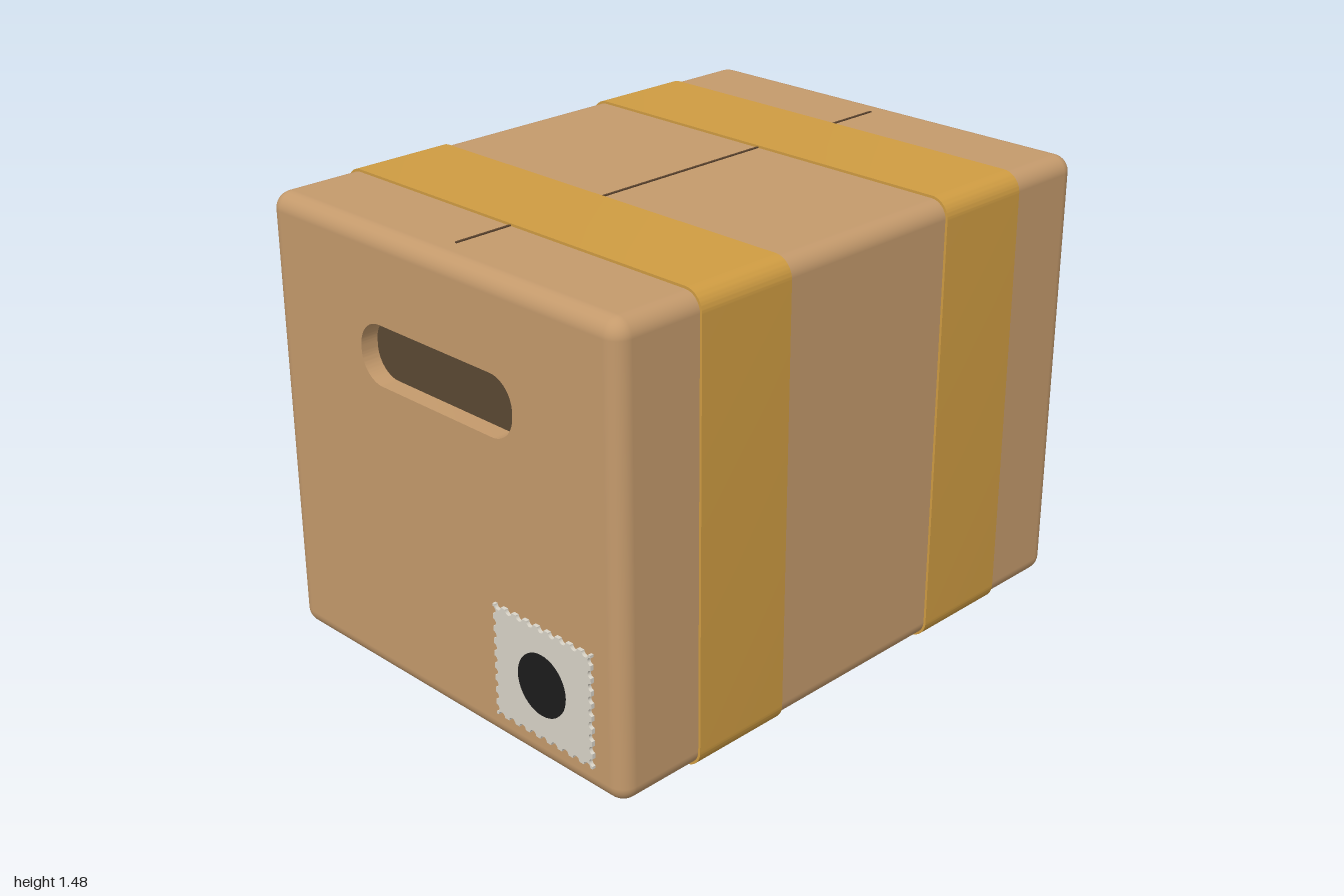
import * as THREE from 'three';
import { toCreasedNormals } from 'three/addons/utils/BufferGeometryUtils.js';
import { RoundedBoxGeometry } from 'three/addons/geometries/RoundedBoxGeometry.js';

const HX = 0.99, HY = 0.7335, HZ = 0.75, R = 0.055; // half sizes and edge radius of the box
const CX = 0.005, CY = 0.7415; // box centre
const TAPE = 0.008, RECESS = 0.06;

const mat = (color) => new THREE.MeshStandardMaterial({ color });
const kraft = mat(0xc49a6c), tapeMat = mat(0xcf9c42), dark = mat(0x5a4833);
const ink = mat(0x443c34), seamMat = mat(0x5e4630), paper = mat(0xd9d4c8), black = mat(0x1c1c1c);

function mesh(name, geometry, material, parent) {
  const m = new THREE.Mesh(geometry, material);
  m.name = name;
  parent.add(m);
  return m;
}

// Rounded rectangle traced counter-clockwise; r = 0 gives square corners
function roundRect(hw, hh, r, cx = 0, cy = 0, Type = THREE.Shape) {
  const s = new Type();
  const corners = [[1, -1], [1, 1], [-1, 1], [-1, -1]];
  corners.forEach(([sx, sy], i) => {
    const x = cx + sx * (hw - r), y = cy + sy * (hh - r), a = (i - 1) * Math.PI / 2;
    if (r > 0) s.absarc(x, y, r, a, a + Math.PI / 2, false);
    else if (i === 0) s.moveTo(x, y);
    else s.lineTo(x, y);
  });
  s.closePath();
  return s;
}

const extrude = (shape, depth, curveSegments = 12) =>
  new THREE.ExtrudeGeometry(shape, { depth, curveSegments, bevelEnabled: false });

// Rounded box without its flat end faces, which the slotted panels replace
function openBox() {
  const g = new RoundedBoxGeometry(HX * 2, HY * 2, HZ * 2, 5, R);
  const p = g.attributes.position, n = g.attributes.normal, pos = [], nor = [];
  for (let i = 0; i < p.count; i += 3) {
    const flatEnd = [0, 1, 2].every((k) => Math.abs(p.getX(i + k)) > HX - 1e-5);
    if (flatEnd) continue;
    for (let k = i; k < i + 3; k++) {
      pos.push(p.getX(k), p.getY(k), p.getZ(k));
      nor.push(n.getX(k), n.getY(k), n.getZ(k));
    }
  }
  const out = new THREE.BufferGeometry();
  out.setAttribute('position', new THREE.Float32BufferAttribute(pos, 3));
  out.setAttribute('normal', new THREE.Float32BufferAttribute(nor, 3));
  return out;
}

// Rectangle with a row of half-round notches along each side
function stampShape(hw, hh, n) {
  const s = new THREE.Shape();
  const starts = [[-hw, -hh], [hw, -hh], [hw, hh], [-hw, hh]];
  s.moveTo(-hw, -hh);
  starts.forEach(([x, y], k) => {
    const a = k * Math.PI / 2, pitch = (k % 2 ? hh : hw) * 2 / n;
    for (let i = 0; i < n; i++) {
      const d = (i + 0.5) * pitch;
      s.absarc(x + Math.cos(a) * d, y + Math.sin(a) * d, pitch * 0.3, a + Math.PI, a, true);
    }
    const [ex, ey] = starts[(k + 1) % 4];
    s.lineTo(ex, ey);
  });
  return s;
}

function arrowShape(x) {
  const pts = [[-0.016, 0.48], [0.016, 0.48], [0.016, 0.64], [0.047, 0.64], [0, 0.71], [-0.047, 0.64], [-0.016, 0.64]];
  return new THREE.Shape(pts.map(([px, py]) => new THREE.Vector2(x + px, py)));
}

// Box end: local +z points outward, the face lies at z = 0
function boxEnd(name, side, parent) {
  const end = new THREE.Group();
  end.name = name;
  end.position.x = CX + side * HX;
  end.rotation.y = side * Math.PI / 2;
  parent.add(end);

  const slot = [0.333, 0.097, 0.09, 0, 1.092];
  const panel = roundRect(HZ - R, HY - R, 0, 0, CY);
  panel.holes.push(roundRect(...slot, THREE.Path));
  const panelGeo = toCreasedNormals(extrude(panel, RECESS, 16), 0.6);
  mesh('endPanel', panelGeo, kraft, end).position.z = -RECESS;
  const back = new THREE.ShapeGeometry(roundRect(...slot), 16);
  mesh('handleRecess', back, dark, end).position.z = -RECESS + 0.001;
  return end;
}

export function createModel() {
  const model = new THREE.Group();
  model.name = 'cardboardBox';

  mesh('boxBody', openBox(), kraft, model).position.set(CX, CY, 0);
  const leftEnd = boxEnd('leftEnd', 1, model);
  const rightEnd = boxEnd('rightEnd', -1, model);

  // Seam between the top flaps
  const seam = new THREE.BoxGeometry(1.78, 0.008, 0.007);
  mesh('topSeam', seam, seamMat, model).position.set(CX, CY + HY, 0);

  // Two tape bands wrapped around the box
  const band = roundRect(HZ + TAPE, HY + TAPE, R + TAPE);
  band.holes.push(roundRect(HZ - 0.001, HY - 0.001, R, 0, 0, THREE.Path));
  const bandGeo = toCreasedNormals(extrude(band, 0.35), 0.6);
  bandGeo.translate(0, 0, -0.175).rotateY(Math.PI / 2);
  for (const side of [-1, 1]) {
    mesh('tapeBand', bandGeo, tapeMat, model).position.set(CX + side * 0.515, CY, 0);
  }

  // This-way-up mark
  for (const x of [0.346, 0.472]) mesh('upArrow', extrude(arrowShape(x), 0.005), ink, leftEnd);
  mesh('arrowBaseline', extrude(roundRect(0.135, 0.008, 0, 0.41, 0.435), 0.005), ink, leftEnd);

  // Postage stamp with a round spot
  const stamp = new THREE.Group();
  stamp.name = 'stamp';
  stamp.position.set(0.435, 0.285, 0);
  rightEnd.add(stamp);
  mesh('stampPaper', extrude(stampShape(0.205, 0.185, 9), 0.012, 6), paper, stamp);
  const spot = new THREE.CylinderGeometry(0.1, 0.1, 0.015, 40).rotateX(Math.PI / 2);
  mesh('stampSpot', spot, black, stamp).position.z = 0.0075;

  return model;
}
